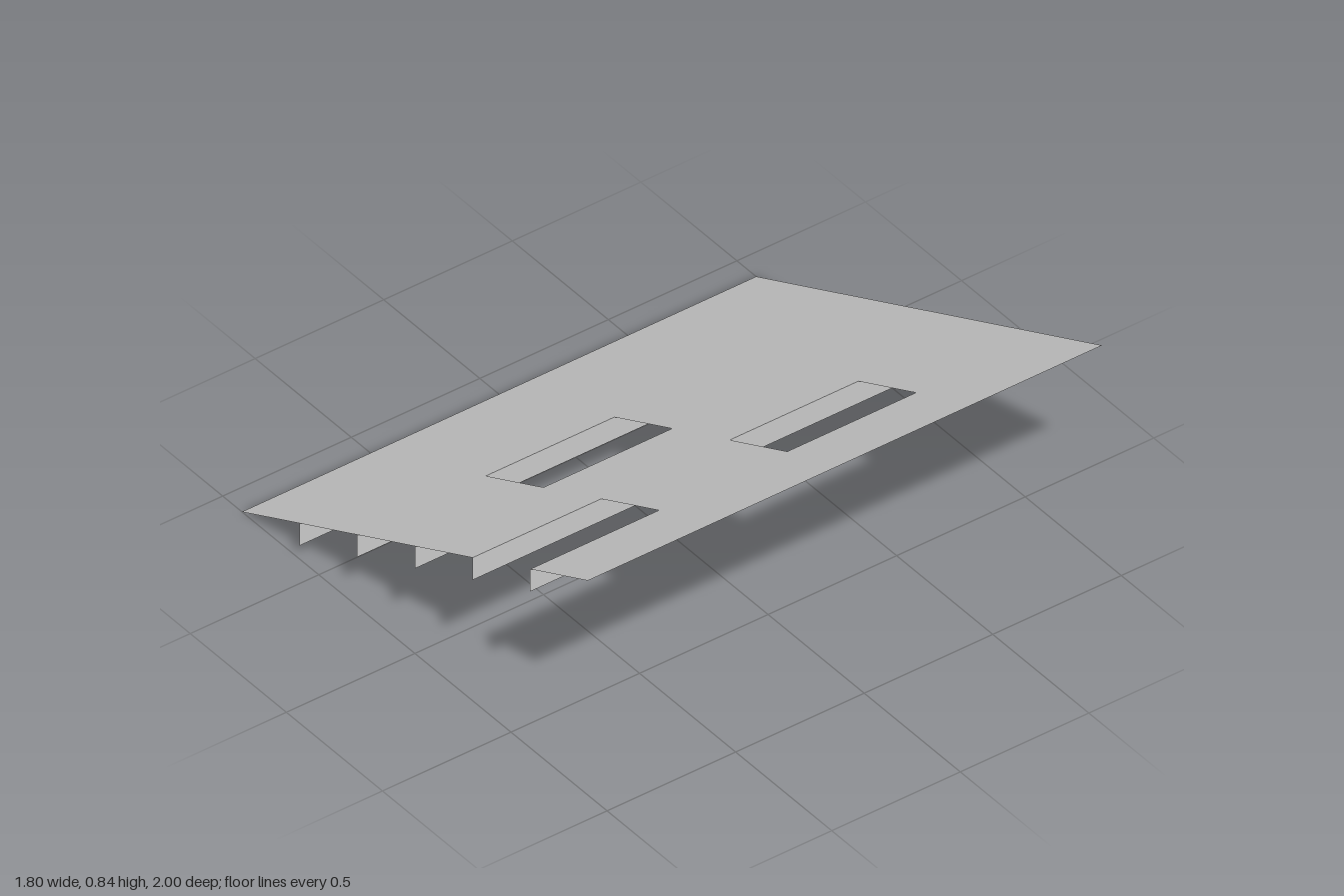
import * as THREE from 'three';

const HALF_X = 0.9, HALF_Z = 1, RISE = 0.845, RIB_DEPTH = 0.088;
const heightAt = (x) => RISE * (x + HALF_X) / (2 * HALF_X);

// closed loop of points, drawn with y = -z so that it lies flat after turning
const loop = (points) => points.map(([x, z]) => new THREE.Vector2(x, -z));
const rectangle = (x0, x1, z0, z1) => loop([[x0, z0], [x0, z1], [x1, z1], [x1, z0]]);

export function createModel() {
  const model = new THREE.Group();
  model.name = 'slopedPanel';
  const material = new THREE.MeshStandardMaterial({
    color: 0xcccccc, side: THREE.DoubleSide, flatShading: true,
  });

  // sloping sheet with a notch in its front edge and two openings
  const outline = new THREE.Shape(loop([
    [-HALF_X, -HALF_Z], [-HALF_X, HALF_Z], [0.3, HALF_Z], [0.3, 0.5],
    [0.6, 0.5], [0.6, HALF_Z], [HALF_X, HALF_Z], [HALF_X, -HALF_Z],
  ]));
  outline.holes.push(
    new THREE.Path(rectangle(-0.3, 0, 0, 0.5)),
    new THREE.Path(rectangle(0.3, 0.6, -0.5, 0)),
  );
  const sheetGeometry = new THREE.ShapeGeometry(outline);
  sheetGeometry.rotateX(-Math.PI / 2);
  const position = sheetGeometry.attributes.position;
  for (let i = 0; i < position.count; i++) position.setY(i, heightAt(position.getX(i)));
  sheetGeometry.computeVertexNormals();
  const sheet = new THREE.Mesh(sheetGeometry, material);
  sheet.name = 'sheet';
  model.add(sheet);

  // upright ribs hanging under the sheet from front to back
  const ribGeometry = new THREE.PlaneGeometry(2 * HALF_Z, RIB_DEPTH).rotateY(Math.PI / 2);
  for (let i = -2; i <= 2; i++) {
    const x = i * 0.3;
    const rib = new THREE.Mesh(ribGeometry, material);
    rib.name = `rib${i + 3}`;
    rib.position.set(x, heightAt(x) - RIB_DEPTH / 2, 0);
    model.add(rib);
  }
  return model;
}
